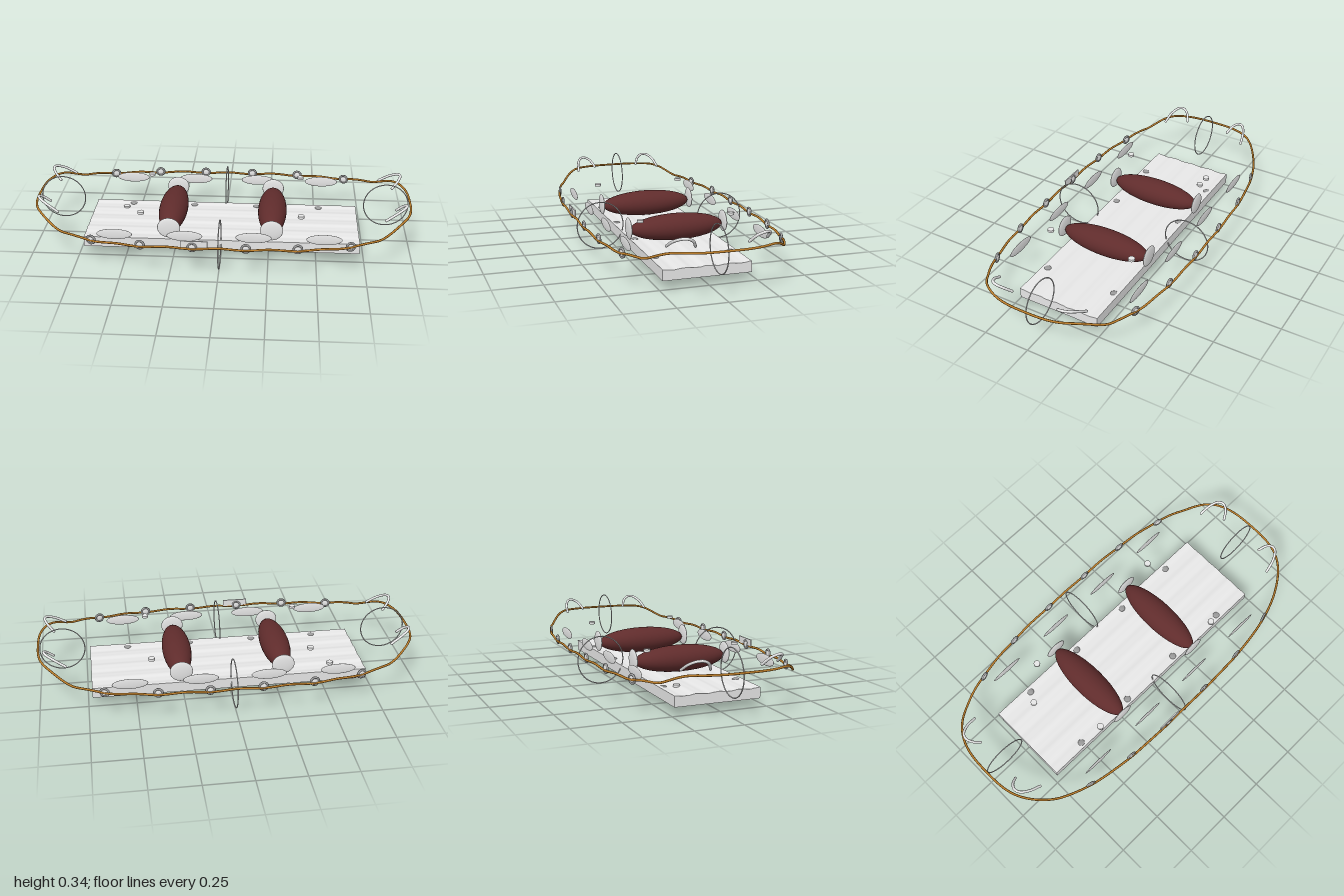
import * as THREE from 'three';

export function createModel() {
  const model = new THREE.Group();
  const mat = (name, color) => {
    const m = new THREE.MeshStandardMaterial({ color });
    m.name = name;
    return m;
  };
  const grey = mat('pale grey', 0xe8e8e8);
  const steel = mat('mid grey', 0x9a9a9a);
  const red = mat('dark red', 0x602c2c);
  const gold = mat('rope gold', 0xba7c2a);

  const add = (name, geometry, material, x, y, z) => {
    const mesh = new THREE.Mesh(geometry, material);
    mesh.name = name;
    mesh.position.set(x, y, z);
    model.add(mesh);
    return mesh;
  };
  const ellipsoid = (rx, ry, rz) => new THREE.SphereGeometry(1, 32, 20).scale(rx, ry, rz);
  const step = THREE.MathUtils.smoothstep;

  // Deck with a gently rippled top
  const deckGeo = new THREE.BoxGeometry(1.455, 0.056, 0.455, 1, 1, 64);
  const pos = deckGeo.attributes.position;
  for (let i = 0; i < pos.count; i++) {
    if (pos.getY(i) > 0) {
      const z = pos.getZ(i);
      pos.setY(i, 0.0255 + 0.0025 * Math.cos(z * 55) + 0.0007 * Math.sin(z * 140));
    }
  }
  deckGeo.computeVertexNormals();
  add('deck', deckGeo, grey, 0, 0.068, 0);

  // Domed bolts set in the deck, and one raised stud
  for (const x of [-0.52, -0.175, 0.175, 0.52]) {
    for (const z of [-0.2, 0.2]) add('deckBolt', ellipsoid(0.019, 0.008, 0.019), steel, x, 0.091, z);
  }
  const studGeo = new THREE.CylinderGeometry(0.017, 0.017, 0.013, 20);
  add('deckStud', studGeo, grey, -0.55, 0.098, -0.14);

  // Spindle-shaped bodies lying across the deck, with end discs
  for (const x of [-0.27, 0.265]) {
    add('spindle', ellipsoid(0.077, 0.069, 0.25), red, x, 0.168, 0);
    for (const s of [-1, 1]) {
      add('spindleCap', ellipsoid(0.06, 0.056, 0.009), grey, x, 0.178, s * 0.257);
    }
  }

  // Rope rail: rounded oblong in plan, rising at both ends
  const power = 2.95;
  const ropePoint = (t) => {
    const c = Math.cos(t), s = Math.sin(t), p = 2 / power;
    const x = 0.995 * Math.sign(c) * Math.abs(c) ** p;
    const z = 0.465 * Math.sign(s) * Math.abs(s) ** p;
    const a = Math.abs(x);
    const wave = 0.004 * Math.cos(x * 24) * (1 - step(a, 0.6, 0.8));
    const y = 0.173 + 0.016 * step(a, 0.55, 0.8) + 0.055 * step(a, 0.8, 0.96) + wave;
    return new THREE.Vector3(x, y, z);
  };
  const ropePoints = [];
  for (let i = 0; i < 160; i++) ropePoints.push(ropePoint((i / 160) * Math.PI * 2));
  const ropeCurve = new THREE.CatmullRomCurve3(ropePoints, true);
  add('ropeRail', new THREE.TubeGeometry(ropeCurve, 320, 0.006, 8, true), gold, 0, 0, 0);

  // Flat beads just inside the rope, each with a darker rim
  const beadGeo = ellipsoid(0.021, 0.02, 0.007);
  const rimGeo = new THREE.TorusGeometry(0.021, 0.006, 8, 28);
  for (const x of [-0.65, -0.395, -0.13, 0.14, 0.4, 0.665]) {
    const t = Math.acos(Math.sign(x) * (Math.abs(x) / 0.995) ** (power / 2));
    const p = ropePoint(t);
    const tangent = ropePoint(t + 0.01).sub(p);
    const turn = Math.atan2(tangent.z, -tangent.x);
    for (const s of [-1, 1]) {
      const z = s * (p.z - 0.004);
      add('ropeBead', beadGeo, grey, p.x, 0.178, z).rotation.y = s * turn;
      add('beadRim', rimGeo, steel, p.x, 0.178, z).rotation.y = s * turn;
    }
  }

  // Thin oval side pads
  for (const x of [-0.54, -0.178, 0.175, 0.535]) {
    for (const s of [-1, 1]) {
      add('sidePad', ellipsoid(0.092, 0.029, 0.004), grey, x, 0.183, s * 0.353);
    }
  }

  // Plate on the front rail
  add('railPlate', new THREE.BoxGeometry(0.135, 0.036, 0.006), grey, -0.12, 0.194, 0.46);

  // Four thin upright hoops
  const hoop = (radius) => new THREE.TorusGeometry(radius, 0.003, 8, 64);
  for (const s of [-1, 1]) {
    add('endHoop', hoop(0.118), grey, s * 0.87, 0.218, 0);
    add('sideHoop', hoop(0.126), grey, 0, 0.132, s * 0.338).rotation.y = Math.PI / 2;
  }

  // Arched hooks and small floating studs, one in each quarter
  for (const sx of [-1, 1]) {
    for (const sz of [-1, 1]) {
      const at = (x, y, z) => new THREE.Vector3(sx * x, y, sz * z);
      const arch = new THREE.CatmullRomCurve3([
        at(0.85, 0.25, 0.25),
        at(0.905, 0.284, 0.238),
        at(0.948, 0.305, 0.212),
        at(0.958, 0.306, 0.185),
        at(0.945, 0.29, 0.155),
        at(0.912, 0.255, 0.132),
      ]);
      add('hook', new THREE.TubeGeometry(arch, 32, 0.007, 10, false), grey, 0, 0, 0);
      for (const u of [0, 1]) {
        const tip = arch.getPoint(u);
        add('hookTip', new THREE.SphereGeometry(0.007, 10, 8), grey, tip.x, tip.y, tip.z);
      }
      add('stud', studGeo, grey, sx * 0.415, 0.255, sz * 0.241);
    }
  }

  return model;
}
